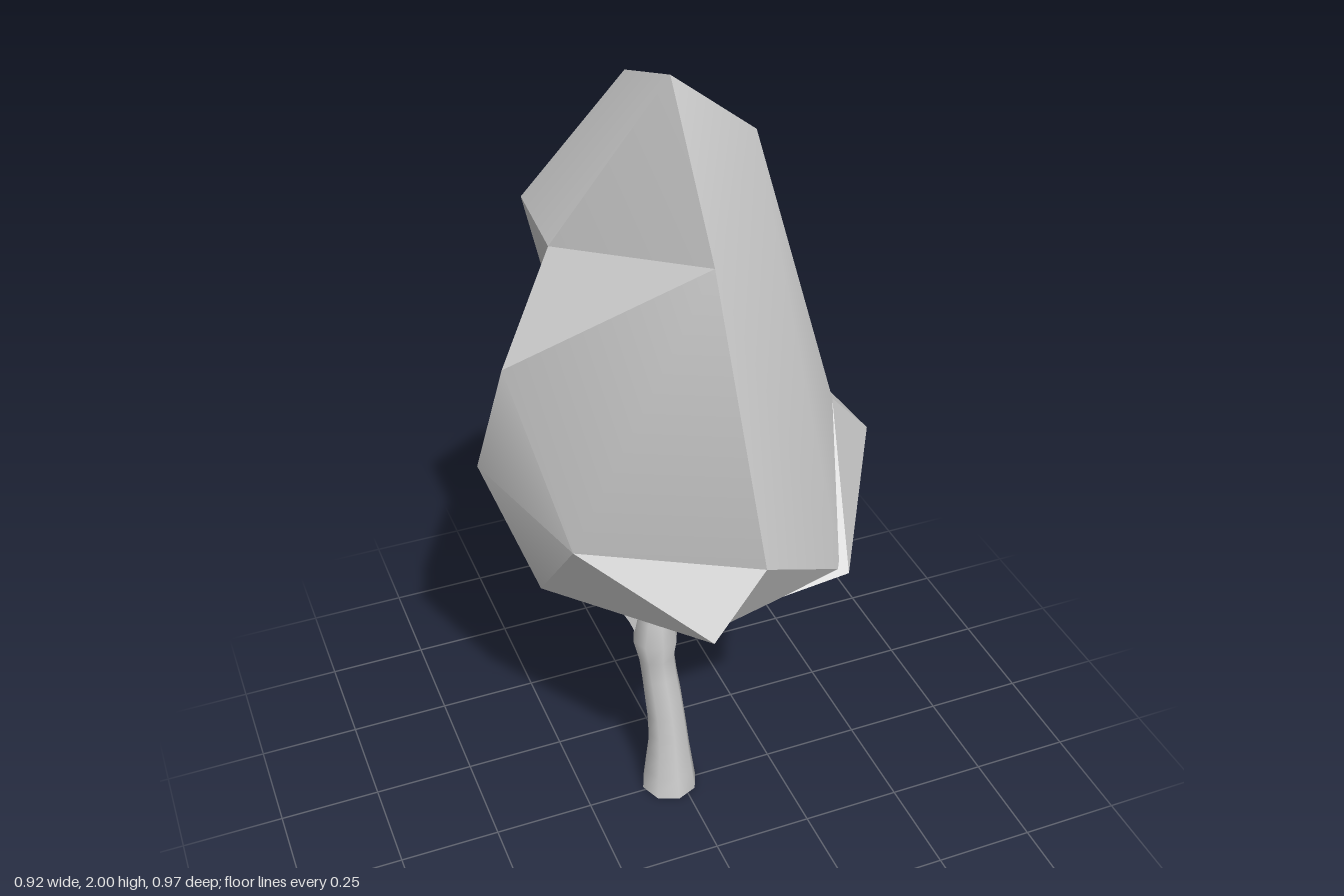
import * as THREE from 'three';
import { ConvexGeometry } from 'three/addons/geometries/ConvexGeometry.js';
import { toCreasedNormals } from 'three/addons/utils/BufferGeometryUtils.js';

const material = new THREE.MeshStandardMaterial({ color: 0xcccccc });
const vec = (p) => new THREE.Vector3(...p);

// Faceted foliage lump: hull of a few corners, shallow edges smoothed
function foliage(name, corners) {
  const hull = new ConvexGeometry(corners.map(vec));
  const mesh = new THREE.Mesh(toCreasedNormals(hull, 0.6), material);
  mesh.name = name;
  return mesh;
}

// Tapered limb: a unit tube whose rings are scaled to evenly spaced radii
function limb(name, path, radii, sides) {
  const curve = new THREE.CatmullRomCurve3(path.map(vec));
  const rings = radii.length - 1;
  const geo = new THREE.TubeGeometry(curve, rings, 1, sides);
  const pos = geo.attributes.position;
  const v = new THREE.Vector3();
  for (let i = 0; i < pos.count; i++) {
    const ring = Math.floor(i / (sides + 1));
    const centre = curve.getPointAt(ring / rings);
    v.fromBufferAttribute(pos, i).sub(centre).multiplyScalar(radii[ring]).add(centre);
    pos.setXYZ(i, v.x, ring === 0 && centre.y < 0.01 ? 0 : v.y, v.z);
  }
  const mesh = new THREE.Mesh(toCreasedNormals(geo, 0.9), material);
  mesh.name = name;
  return mesh;
}

export function createModel() {
  const tree = new THREE.Group();
  tree.name = 'tree';

  // Trunk with a slight bend and a swollen collar at the branch
  tree.add(limb('trunk',
    [[-0.028, 0, -0.01], [-0.03, 0.2, -0.018], [-0.05, 0.46, -0.043], [-0.046, 0.57, -0.043], [-0.013, 0.8, -0.042], [-0.005, 0.9, -0.04]],
    [0.073, 0.065, 0.057, 0.052, 0.049, 0.048, 0.046, 0.046, 0.058, 0.045, 0.042, 0.04, 0.04, 0.04, 0.04, 0.04], 8));
  const base = new THREE.Mesh(new THREE.CircleGeometry(0.071, 8), material);
  base.name = 'trunkBase';
  base.rotation.x = Math.PI / 2;
  base.position.set(-0.028, 0.001, -0.01);
  tree.add(base);

  // Thin side branch curling upward
  tree.add(limb('branch',
    [[-0.055, 0.49, -0.05], [-0.09, 0.525, -0.12], [-0.13, 0.565, -0.18], [-0.145, 0.6, -0.2], [-0.17, 0.655, -0.2]],
    [0.042, 0.028, 0.02, 0.016, 0.013, 0.004], 6));

  // Tall central mass of the crown
  tree.add(foliage('crownSpire', [
    [-0.05, 2, 0.07], [-0.075, 1.94, -0.12], [0.15, 1.84, 0.04], [0.09, 1.78, -0.17],
    [-0.04, 1.68, 0.28], [-0.27, 1.6, -0.07], [-0.265, 1.62, -0.27], [0.215, 1.38, -0.18],
    [0.32, 1.19, 0.115], [-0.02, 1.3, -0.32], [-0.19, 1.28, -0.28], [0.02, 1.03, 0.44],
    [0.255, 0.88, 0.33], [0.335, 0.91, 0.17], [-0.04, 0.78, 0.31], [0.15, 0.82, -0.2],
  ]));

  // Front right flank
  tree.add(foliage('crownFlank', [
    [-0.04, 1.68, 0.28], [-0.27, 1.6, -0.07], [-0.42, 1.4, 0.05], [-0.46, 1.09, -0.065],
    [-0.33, 1.0, 0.2], [0.02, 1.03, 0.44], [-0.04, 0.78, 0.31], [-0.34, 0.73, -0.03],
    [0.02, 0.8, -0.05],
  ]));

  // Pointed lower front corner
  tree.add(foliage('crownFrontCorner', [
    [0.02, 1.03, 0.44], [-0.115, 0.9, 0.48], [-0.33, 1.0, 0.2], [-0.04, 0.78, 0.31],
    [-0.34, 0.73, -0.03], [0.0, 0.8, 0],
  ]));

  // Broad sloping lump at the back
  tree.add(foliage('crownBack', [
    [-0.27, 1.59, -0.07], [-0.42, 1.4, 0.05], [-0.46, 1.09, -0.065], [-0.355, 0.99, -0.355],
    [0.015, 1.0, -0.485], [-0.02, 1.3, -0.32], [0.215, 1.38, -0.18], [0.24, 1.13, -0.17],
    [0.24, 0.84, -0.28], [0.01, 0.78, -0.39], [-0.34, 0.73, -0.03], [0.02, 0.8, -0.05],
  ]));

  // Underside filling between the back and side lumps
  tree.add(foliage('crownUnderside', [
    [0.32, 0.735, -0.05], [0.24, 0.84, -0.28], [0.01, 0.78, -0.39], [0.0, 0.8, -0.05],
    [0.1, 0.95, -0.1],
  ]));

  // Low lump on the left side
  tree.add(foliage('crownSide', [
    [0.32, 1.19, 0.115], [0.22, 1.14, -0.15], [0.365, 1.12, -0.18], [0.455, 1.03, 0.04],
    [0.44, 0.85, -0.03], [0.24, 0.84, -0.28], [0.32, 0.735, -0.05], [0.265, 0.88, 0.35],
    [0.36, 0.92, 0.17], [0.12, 0.82, 0.25], [-0.04, 0.785, 0.29], [0, 0.8, -0.08],
  ]));
  return tree;
}
